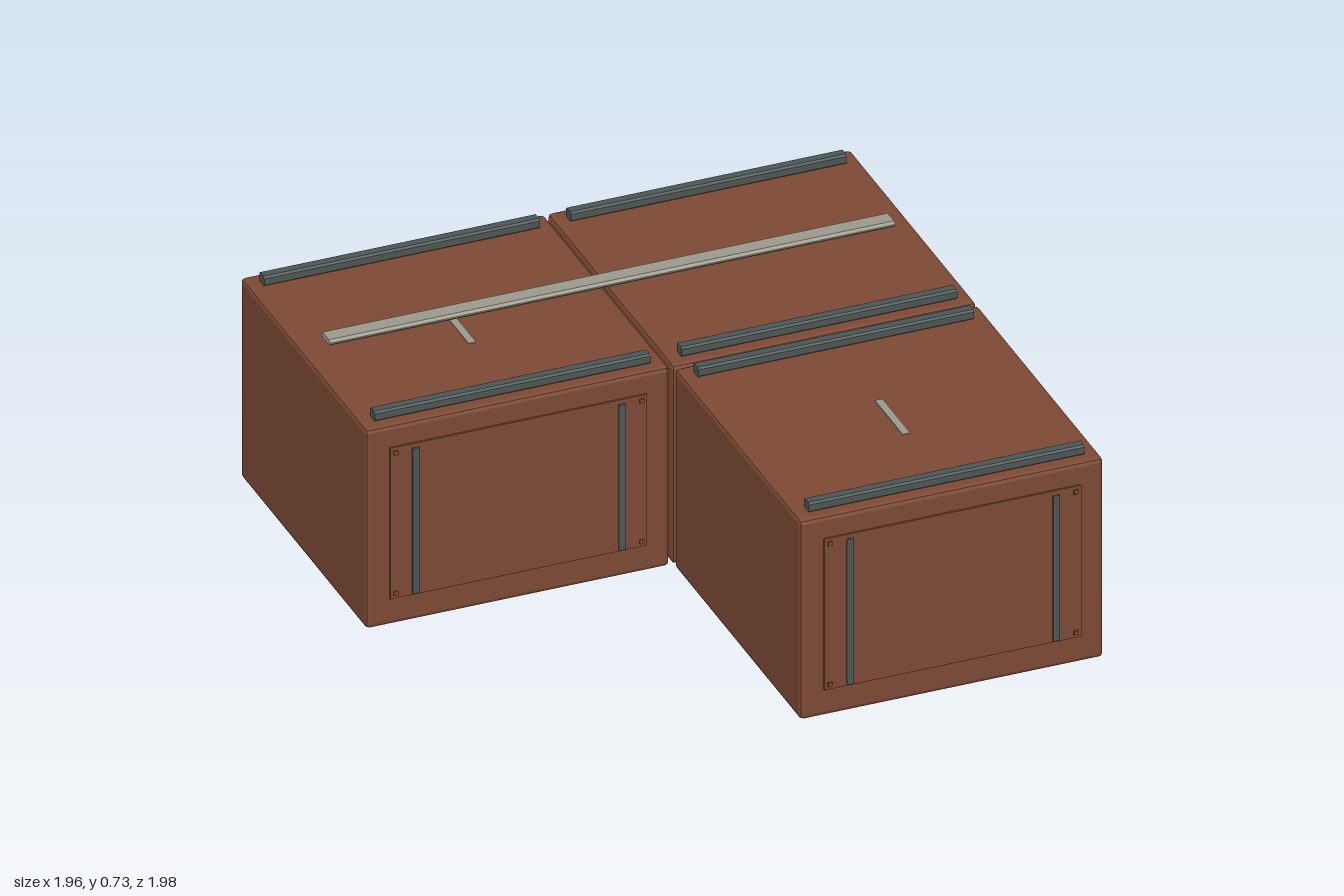
import * as THREE from 'three';
import { RoundedBoxGeometry } from 'three/addons/geometries/RoundedBoxGeometry.js';

const mat = (color) => new THREE.MeshStandardMaterial({ color, flatShading: true });
const W = 0.975, H = 0.685;

// Bar along x with chamfered long edges: width along z, height along y
function barGeometry(length, width, height, c) {
  const w = width / 2, h = height / 2;
  const shape = new THREE.Shape([
    [-w + c, -h], [w - c, -h], [w, -h + c], [w, h - c],
    [w - c, h], [-w + c, h], [-w, h - c], [-w, -h + c],
  ].map(([x, y]) => new THREE.Vector2(x, y)));
  const g = new THREE.ExtrudeGeometry(shape, { depth: length, bevelEnabled: false });
  return g.translate(0, 0, -length / 2).rotateY(Math.PI / 2);
}

export function createModel() {
  const model = new THREE.Group();
  model.name = 'stackedCrates';
  const brown = mat(0x7d4a34), steel = mat(0x4c5656), pale = mat(0x9c9a8e);

  const add = (parent, name, geometry, material, x, y, z) => {
    const mesh = new THREE.Mesh(geometry, material);
    mesh.name = name;
    mesh.position.set(x, y, z);
    parent.add(mesh);
    return mesh;
  };

  const bodyGeo = new RoundedBoxGeometry(W, H, W, 1, 0.014);
  const railGeo = barGeometry(0.885, 0.038, 0.034, 0.006);
  const panelGeo = new THREE.BoxGeometry(0.825, 0.52, 0.016);
  const stripGeo = new THREE.BoxGeometry(0.022, 0.5, 0.016);
  const studGeo = new THREE.BoxGeometry(0.014, 0.014, 0.012);
  const markGeo = new THREE.BoxGeometry(0.024, 0.006, 0.215);

  function makeCrate(name, x, z, markZ) {
    const crate = new THREE.Group();
    crate.name = name;
    crate.position.set(x, 0, z);
    add(crate, 'body', bodyGeo, brown, 0, H / 2, 0);

    for (const s of [-1, 1]) {
      // Rails along the top edges
      add(crate, 'topRail', railGeo, steel, 0, H + 0.015, s * 0.428);

      // End panel with two upright strips and corner studs
      const end = new THREE.Group();
      end.name = s > 0 ? 'frontEnd' : 'backEnd';
      end.rotation.y = s > 0 ? 0 : Math.PI;
      crate.add(end);
      add(end, 'panel', panelGeo, brown, 0, 0.352, W / 2 - 0.002);
      for (const side of [-1, 1]) {
        add(end, 'uprightStrip', stripGeo, steel, side * 0.331, 0.347, W / 2 + 0.004);
        for (const y of [0.11, 0.594])
          add(end, 'cornerStud', studGeo, brown, side * 0.395, y, W / 2 + 0.005);
      }
    }

    // Flat inlay in the lid
    if (markZ !== undefined) add(crate, 'lidInlay', markGeo, pale, 0, H, markZ);
    model.add(crate);
  }

  const c = 0.4925;
  makeCrate('backRightCrate', -c, -c, 0.027);
  makeCrate('backLeftCrate', c, -c);
  makeCrate('frontLeftCrate', c, c, 0.027);

  // Long pole lying across the two back crates
  add(model, 'pole', barGeometry(1.815, 0.065, 0.02, 0.008), pale, 0, 0.721, -0.493);

  return model;
}
